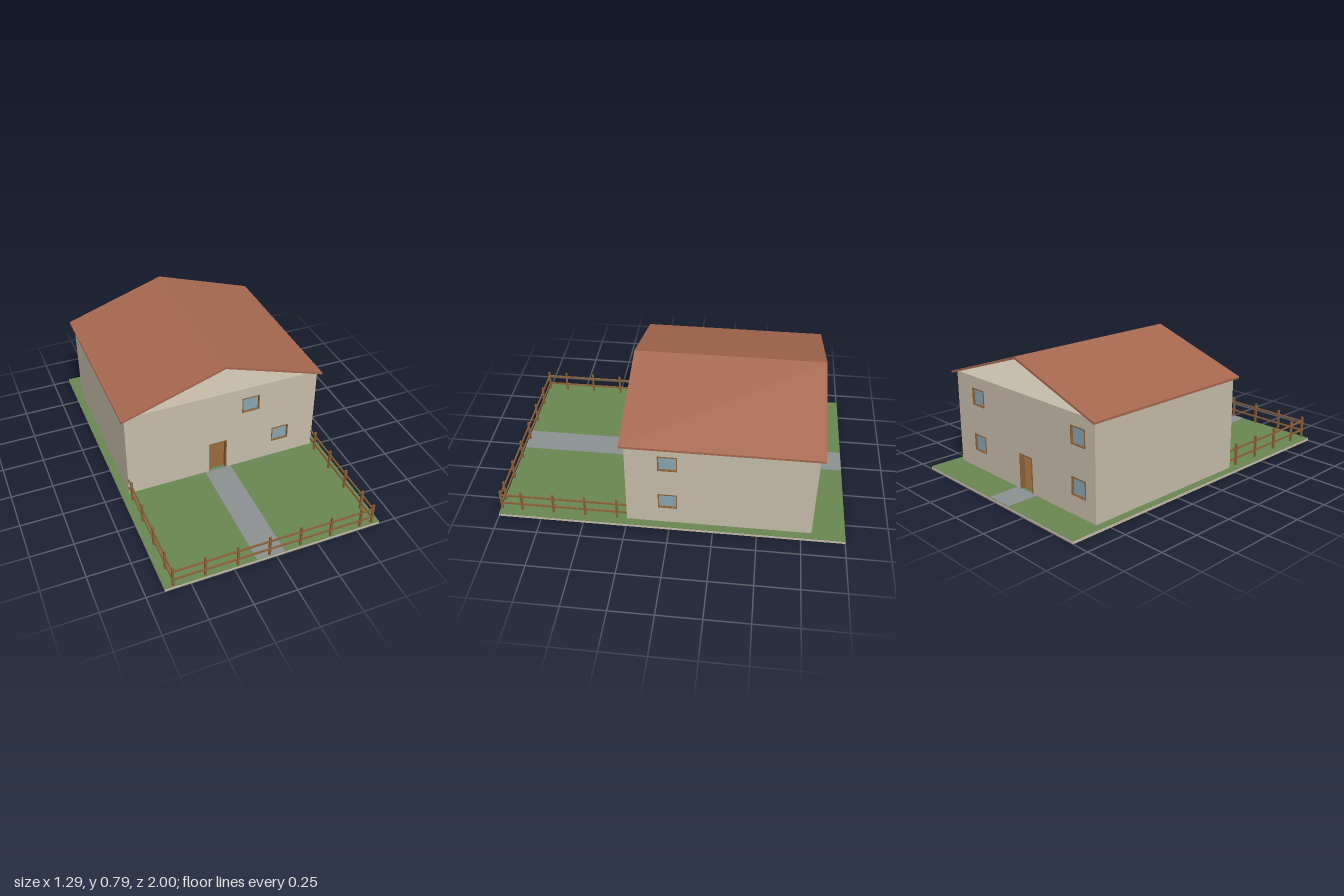
import * as THREE from 'three';

const mat = (name, color, side = THREE.FrontSide) => {
  const m = new THREE.MeshStandardMaterial({ color, side });
  m.name = name;
  return m;
};

export function createModel() {
  const model = new THREE.Group();
  model.name = 'house';
  const plaster = mat('plaster', 0xc4bba9);
  const grass = mat('grass', 0x698652);
  const paving = mat('paving', 0x8b9091);
  const tile = mat('roofTile', 0xa5674f);
  const glass = mat('glass', 0x88a4af);
  const wood = mat('wood', 0x8a6138);

  const BASE = 0.018, TOP = 0.58, HALF = 0.6, FRONT = 0.25, BACK = -0.81;
  const MID = (FRONT + BACK) / 2, DEPTH = FRONT - BACK, T = 0.024;

  const add = (parent, name, geometry, material) => {
    const mesh = new THREE.Mesh(geometry, material);
    mesh.name = name;
    parent.add(mesh);
    return mesh;
  };
  // Box given by its minimum and maximum corners
  const box = (parent, name, material, x0, x1, y0, y1, z0, z1) => {
    const mesh = add(parent, name, new THREE.BoxGeometry(x1 - x0, y1 - y0, z1 - z0), material);
    mesh.position.set((x0 + x1) / 2, (y0 + y1) / 2, (z0 + z1) / 2);
    return mesh;
  };
  const polygon = (points) => new THREE.Shape(points.map(([x, y]) => new THREE.Vector2(x, y)));
  const rect = (x0, x1, y0, y1) => polygon([[x0, y0], [x1, y0], [x1, y1], [x0, y1]]);
  const extrude = (shape, depth) => new THREE.ExtrudeGeometry(shape, { depth, bevelEnabled: false });

  // Ground: slab, lawn and the path in front of and behind the house
  box(model, 'slab', plaster, -0.645, 0.645, 0, 0.016, -1, 1);
  box(model, 'lawn', grass, -0.645, 0.645, 0.016, BASE, -1, 1);
  box(model, 'frontPath', paving, -0.117, 0.05, BASE, BASE + 0.002, FRONT, 1);
  box(model, 'backPath', paving, -0.117, 0.05, BASE, BASE + 0.002, -1, BACK);
  box(model, 'floor', wood, -HALF + T, HALF - T, BASE, BASE + 0.004, BACK + T, FRONT - T);

  // A wall with its outer face on local z = 0; windows are [centre x, bottom y]
  const F = 0.006, W = 0.11, H = 0.102;
  const wall = (name, half, windows, door) => {
    const g = new THREE.Group();
    g.name = name;
    const outline = [[-half, BASE]];
    if (door) outline.push([door[0], BASE], [door[0], 0.23], [door[1], 0.23], [door[1], BASE]);
    outline.push([half, BASE], [half, TOP], [-half, TOP]);
    const shape = polygon(outline);
    for (const [x, y] of windows) {
      const x0 = x - W / 2, x1 = x + W / 2, y1 = y + H;
      shape.holes.push(rect(x0, x1, y, y1));
      const ring = rect(x0, x1, y, y1);
      ring.holes.push(rect(x0 + F, x1 - F, y + F, y1 - F));
      add(g, 'windowFrame', extrude(ring, T + 0.006), wood).position.z = -T - 0.003;
      box(g, 'windowPane', glass, x0 + F, x1 - F, y + F, y1 - F, -T / 2 - 0.003, -T / 2 + 0.003);
    }
    add(g, 'wallPanel', extrude(shape, T), plaster).position.z = -T;
    if (door) {
      const [a, b] = door;
      const frame = polygon([[a, BASE], [a + F, BASE], [a + F, 0.23 - F], [b - F, 0.23 - F],
        [b - F, BASE], [b, BASE], [b, 0.23], [a, 0.23]]);
      add(g, 'doorFrame', extrude(frame, T + 0.006), wood).position.z = -T - 0.003;
    }
    model.add(g);
    return g;
  };
  const LOW = 0.129, HIGH = 0.409;
  wall('frontWall', HALF, [[0.374, LOW], [0.173, HIGH]], [-0.088, 0.022]).position.z = FRONT;

  const back = wall('backWall', HALF,
    [[-0.395, LOW], [-0.395, HIGH], [0.472, LOW], [0.472, HIGH]], [-0.022, 0.088]);
  back.position.z = BACK;
  back.rotation.y = Math.PI;

  const sideX = MID - 0.012;
  const left = wall('leftWall', DEPTH / 2 - T, [[sideX, LOW], [sideX, HIGH]]);
  left.position.set(HALF, 0, MID);
  left.rotation.y = Math.PI / 2;

  const right = wall('rightWall', DEPTH / 2 - T, []);
  right.position.set(-HALF, 0, MID);
  right.rotation.y = -Math.PI / 2;

  // Flat ceiling under the open loft
  box(model, 'ceiling', plaster, -HALF + T, HALF - T, TOP - 0.02, TOP, BACK + T, FRONT - T);

  // Pitched roof of two thin slopes
  for (const s of [1, -1]) {
    const slope = polygon([[0, 0.785], [0, 0.771], [s * 0.621, 0.567], [s * 0.621, 0.58]]);
    add(model, s > 0 ? 'leftRoof' : 'rightRoof', extrude(slope, 1.11), tile).position.z = -0.835;
  }

  // Garden fence: posts and two rails on three sides
  const fence = new THREE.Group();
  fence.name = 'fence';
  model.add(fence);
  const P = 0.006, R = 0.004, FZ = 0.99, FX = 0.597;
  const post = (x, z) => box(fence, 'fencePost', wood, x - P, x + P, BASE, 0.152, z - P, z + P);
  for (let i = 1; i < 7; i++) post(-0.6 + i * 0.187, FZ);
  for (const s of [1, -1]) {
    post(s * FX, FZ);
    for (let i = 0; i < 4; i++) post(s * FX, 0.309 + i * 0.187);
  }
  for (const y of [0.062, 0.122]) {
    box(fence, 'frontRail', wood, -FX, FX, y - 0.005, y + 0.005, FZ - R, FZ + R);
    for (const s of [1, -1]) {
      box(fence, 'sideRail', wood, s * FX - R, s * FX + R, y - 0.005, y + 0.005, FRONT, FZ);
    }
  }
  return model;
}
